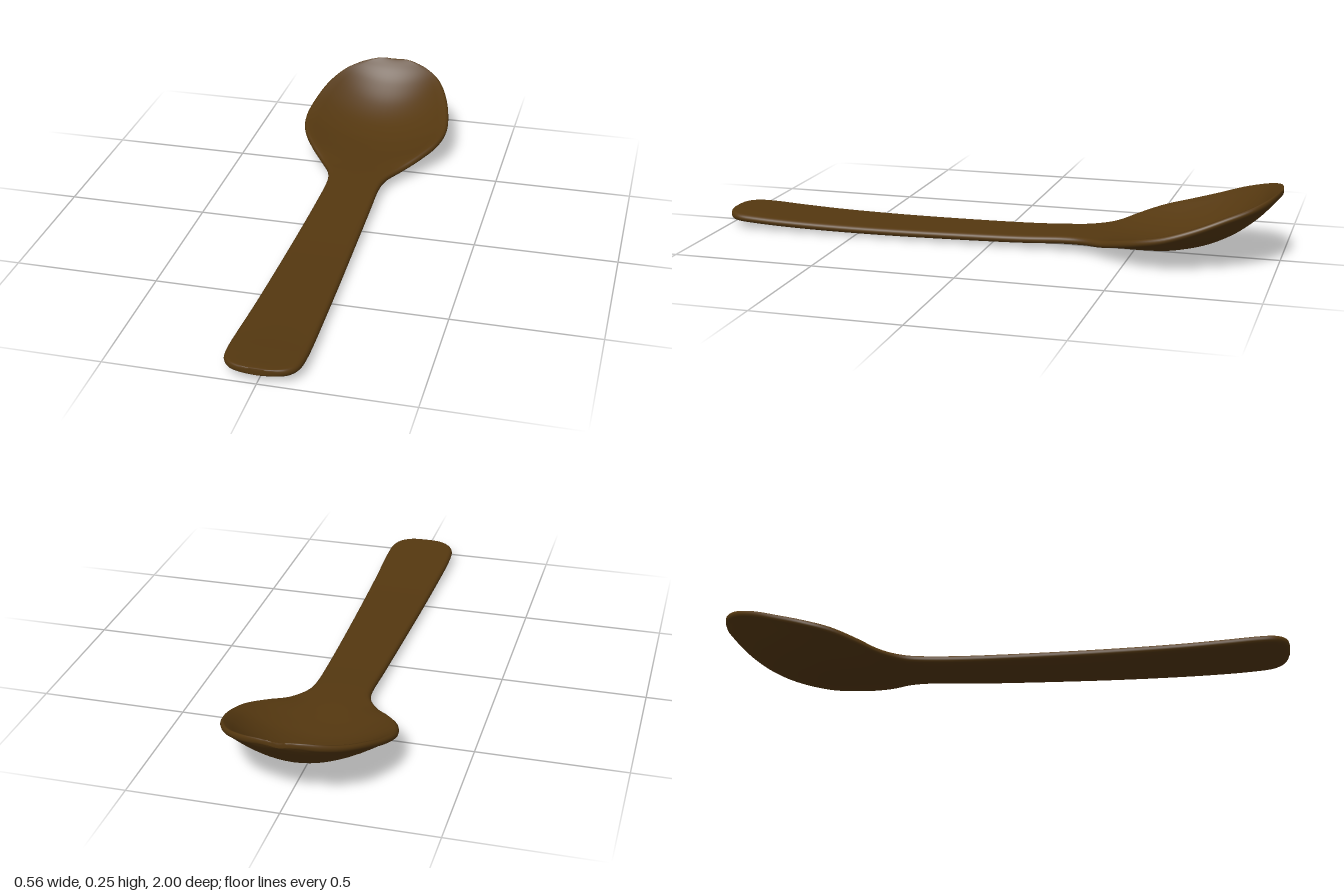
import * as THREE from 'three';

// Stations from bowl tip to handle end: [z, half width, rim top, centre top, centre bottom]
const STATIONS = [
  [-1.0, 0.025, 0.249, 0.249, 0.232],
  [-0.992, 0.07, 0.252, 0.246, 0.222],
  [-0.965, 0.135, 0.241, 0.222, 0.192],
  [-0.915, 0.195, 0.222, 0.172, 0.142],
  [-0.84, 0.238, 0.196, 0.117, 0.087],
  [-0.75, 0.267, 0.162, 0.077, 0.047],
  [-0.65, 0.28, 0.13, 0.057, 0.026],
  [-0.56, 0.26, 0.108, 0.053, 0.022],
  [-0.48, 0.212, 0.085, 0.054, 0.024],
  [-0.41, 0.158, 0.064, 0.056, 0.028],
  [-0.34, 0.115, 0.058, 0.056, 0.025],
  [-0.26, 0.1, 0.054, 0.054, 0.02],
  [-0.1, 0.102, 0.046, 0.046, 0.012],
  [0.15, 0.108, 0.041, 0.041, 0.004],
  [0.4, 0.115, 0.039, 0.039, 0.002],
  [0.62, 0.121, 0.041, 0.041, 0.007],
  [0.78, 0.126, 0.046, 0.047, 0.014],
  [0.88, 0.127, 0.051, 0.053, 0.02],
  [0.94, 0.121, 0.054, 0.056, 0.024],
  [0.975, 0.1, 0.056, 0.058, 0.027],
  [0.993, 0.068, 0.057, 0.058, 0.03],
  [1.0, 0.03, 0.056, 0.056, 0.034],
];
const ROWS = 126, SPAN = 18, ARC = 6;

// Closed cross-section: dished top, rounded edges and curved underside
function section(z, w, rim, top, bottom) {
  const edge = Math.min(0.014, w * 0.3);
  const thick = Math.min(0.027, (top - bottom) * 0.85);
  const inner = w - edge, mid = rim - thick / 2, pts = [];
  for (let i = 0; i <= SPAN; i++) {
    const u = -1 + 2 * i / SPAN;
    pts.push([inner * u, top + (rim - top) * u * u, z]);
  }
  const arc = (side, from) => {
    for (let i = 1; i < ARC; i++) {
      const a = from - Math.PI * i / ARC * side * Math.sign(from);
      pts.push([side * (inner + edge * Math.cos(a)), mid + thick / 2 * Math.sin(a), z]);
    }
  };
  arc(1, Math.PI / 2);
  for (let i = 0; i <= SPAN; i++) {
    const u = 1 - 2 * i / SPAN;
    pts.push([inner * u, bottom + (rim - thick - bottom) * u * u, z]);
  }
  arc(-1, -Math.PI / 2);
  // The left arc climbs from the underside back to the top
  for (let i = 1; i < ARC; i++) {
    const a = -Math.PI / 2 + Math.PI * i / ARC;
    pts[pts.length - ARC + i] = [-(inner + edge * Math.cos(a)), mid + thick / 2 * Math.sin(a), z];
  }
  return pts;
}

function spoonGeometry() {
  const outline = new THREE.CatmullRomCurve3(
    STATIONS.map(s => new THREE.Vector3(s[0], s[1], s[2])), false, 'catmullrom', 0.5);
  const spine = new THREE.CatmullRomCurve3(
    STATIONS.map(s => new THREE.Vector3(s[0], s[3], s[4])), false, 'catmullrom', 0.5);
  const pos = [], index = [];
  let n = 0;
  for (let i = 0; i <= ROWS; i++) {
    const o = outline.getPoint(i / ROWS), s = spine.getPoint(i / ROWS);
    const loop = section(o.x, o.y, o.z, s.y, s.z);
    n = loop.length;
    pos.push(...loop.flat());
  }
  for (let i = 0; i < ROWS; i++) {
    for (let j = 0; j < n; j++) {
      const a = i * n + j, b = i * n + (j + 1) % n;
      index.push(a, a + n, b, b, a + n, b + n);
    }
  }
  // Close the tip and the handle end
  const tip = pos.length / 3, end = tip + 1, last = ROWS * n;
  const first = STATIONS[0], final = STATIONS[STATIONS.length - 1];
  for (const s of [first, final]) pos.push(0, (s[3] + s[4]) / 2, s[0]);
  for (let j = 0; j < n; j++) {
    const k = (j + 1) % n;
    index.push(tip, j, k, end, last + k, last + j);
  }
  const geo = new THREE.BufferGeometry();
  geo.setAttribute('position', new THREE.Float32BufferAttribute(pos, 3));
  geo.setIndex(index);
  geo.computeVertexNormals();
  return geo;
}

export function createModel() {
  const group = new THREE.Group();
  group.name = 'spoon';
  const wood = new THREE.MeshStandardMaterial({ color: 0x553810 });
  wood.name = 'dark brown wood';
  const body = new THREE.Mesh(spoonGeometry(), wood);
  body.name = 'bowlAndHandle';
  group.add(body);
  return group;
}
